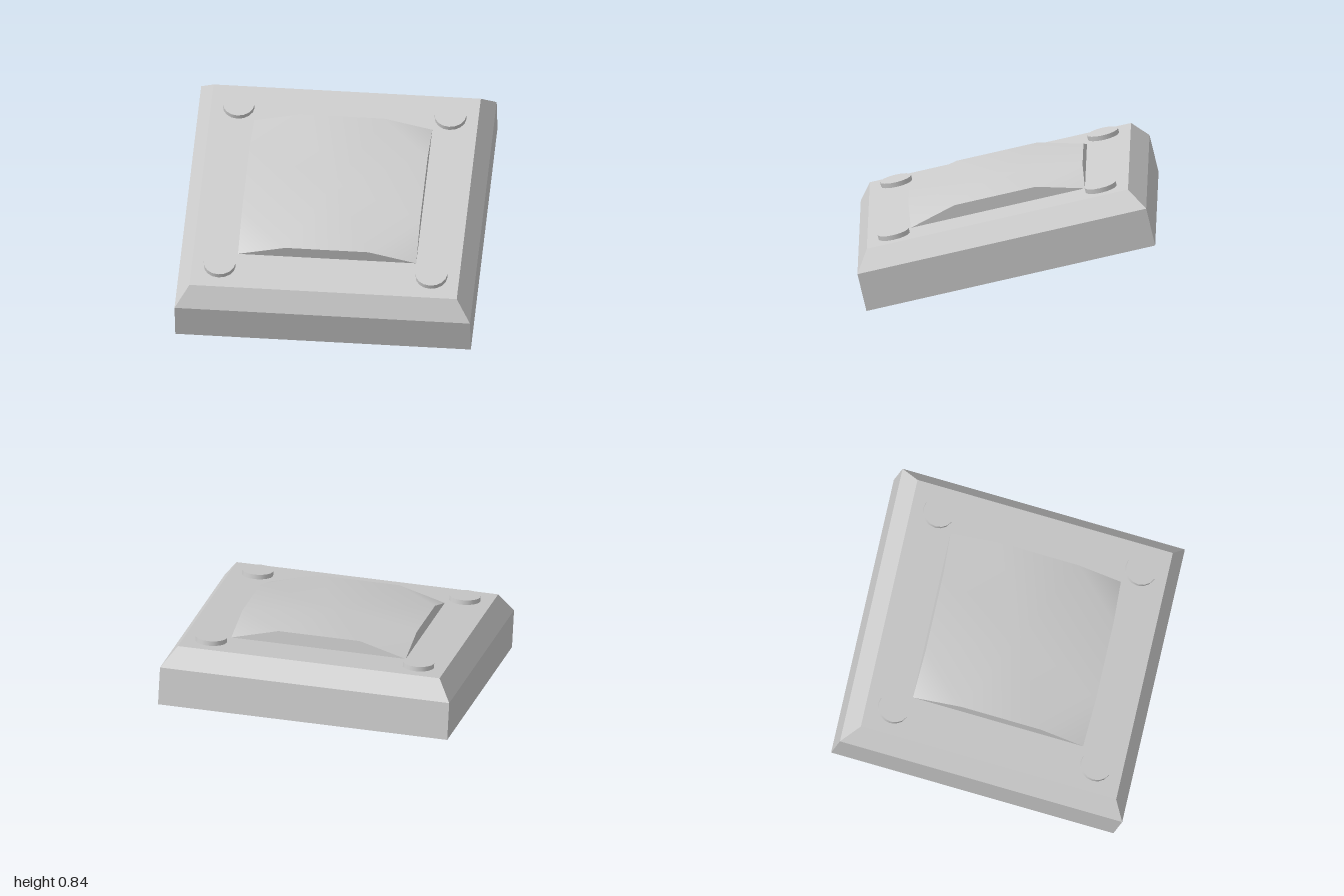
import * as THREE from 'three';
import { toCreasedNormals } from 'three/addons/utils/BufferGeometryUtils.js';

const material = new THREE.MeshStandardMaterial({ color: 0xcccccc });
const flatMaterial = new THREE.MeshStandardMaterial({ color: 0xcccccc, flatShading: true });

const TOP = 0.395; // height of the slab's upper face

// Square slab with a bevelled upper rim: a four-sided lathe
function slabGeometry() {
  const profile = [[0, 0], [0.995, 0], [0.995, 0.262], [0.9, TOP], [0, TOP]]
    .map(([half, y]) => new THREE.Vector2(half * Math.SQRT2, y));
  return new THREE.LatheGeometry(profile, 4).rotateY(Math.PI / 4).toNonIndexed();
}

// Raised pad: flat octagonal top whose four corners fold down to the slab
function padGeometry(half, knee, height) {
  const positions = [];
  const up = new THREE.Vector3(0, 1, 0);
  const centre = new THREE.Vector3(0, height, 0);
  const tri = (...points) => points.forEach((p) => positions.push(p.x, p.y, p.z));
  for (let i = 0; i < 4; i++) {
    const at = (x, y, z) => new THREE.Vector3(x, y, z).applyAxisAngle(up, i * Math.PI / 2);
    const left = at(-half, 0, half);
    const right = at(half, 0, half);
    const kneeLeft = at(-knee, height, half);
    const kneeRight = at(knee, height, half);
    const nextKnee = at(half, height, knee);
    // Side wall
    tri(left, right, kneeRight);
    tri(left, kneeRight, kneeLeft);
    // Top and folded corner
    tri(centre, kneeLeft, kneeRight);
    tri(centre, kneeRight, nextKnee);
    tri(kneeRight, right, nextKnee);
  }
  const geometry = new THREE.BufferGeometry();
  geometry.setAttribute('position', new THREE.Float32BufferAttribute(positions, 3));
  return toCreasedNormals(geometry, 0.8);
}

export function createModel() {
  const model = new THREE.Group();
  model.name = 'tiltedPanel';

  // Everything is built level, then tilted so the front edge rests on the ground
  const panel = new THREE.Group();
  panel.name = 'panel';
  panel.position.set(0, 0.23, -0.03);
  panel.rotation.x = 0.2328;
  model.add(panel);

  const add = (name, geometry, mat, x, y, z) => {
    const mesh = new THREE.Mesh(geometry, mat);
    mesh.name = name;
    mesh.position.set(x, y, z);
    panel.add(mesh);
  };

  add('slab', slabGeometry(), flatMaterial, 0, 0, 0);
  add('raisedPad', padGeometry(0.6, 0.28, 0.086), material, 0, TOP, 0);

  // Round bolt heads at the corners
  const bolt = new THREE.CylinderGeometry(0.107, 0.107, 0.032, 16);
  for (const [side, x] of [['Left', 0.713], ['Right', -0.713]]) {
    for (const [end, z] of [['front', 0.713], ['back', -0.713]]) {
      add(`${end}${side}Bolt`, bolt, material, x, TOP + 0.016, z);
    }
  }
  return model;
}
